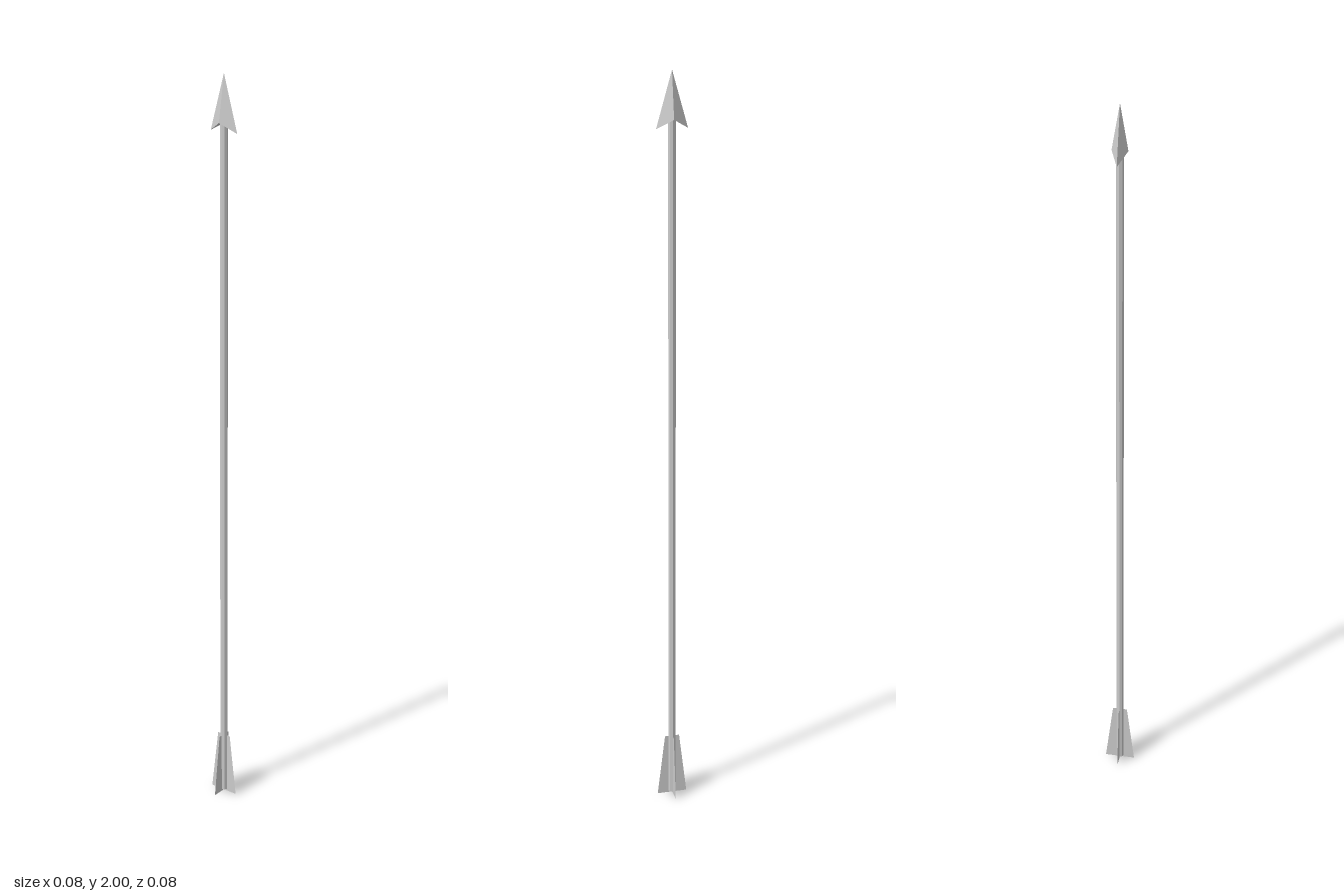
import * as THREE from 'three';

const material = new THREE.MeshStandardMaterial({ color: 0xcccccc, flatShading: true });
const thinMaterial = new THREE.MeshStandardMaterial({ color: 0xcccccc, flatShading: true, side: THREE.DoubleSide });

function addPart(group, name, geometry, mat = material) {
  const mesh = new THREE.Mesh(geometry, mat);
  mesh.name = name;
  group.add(mesh);
  return mesh;
}

// Four-sided point, flattened in z, with its two side corners swept back as barbs
function headGeometry() {
  const baseY = 1.88, barbDrop = 0.025;
  const geo = new THREE.ConeGeometry(0.041, 2 - baseY, 4);
  geo.scale(1, 1, 0.5);
  geo.translate(0, (2 + baseY) / 2, 0);
  const pos = geo.attributes.position;
  for (let i = 0; i < pos.count; i++) {
    if (Math.abs(pos.getX(i)) > 0.03) pos.setY(i, baseY - barbDrop);
  }
  geo.computeVertexNormals();
  return geo;
}

export function createModel() {
  const arrow = new THREE.Group();
  arrow.name = 'arrow';

  // Shaft
  const bottom = 0.005, top = 1.89;
  const shaft = new THREE.CylinderGeometry(0.01, 0.01, top - bottom, 8);
  shaft.translate(0, (top + bottom) / 2, 0);
  addPart(arrow, 'shaft', shaft);

  // Head
  addPart(arrow, 'head', headGeometry());

  // Four tapering fletches around the tail
  const fletch = new THREE.ShapeGeometry(new THREE.Shape([
    new THREE.Vector2(0, 0),
    new THREE.Vector2(0.041, 0),
    new THREE.Vector2(0.02, 0.175),
    new THREE.Vector2(0, 0.175),
  ]));
  for (let i = 0; i < 4; i++) {
    addPart(arrow, `fletch${i + 1}`, fletch, thinMaterial).rotation.y = (i * Math.PI) / 2;
  }

  return arrow;
}
